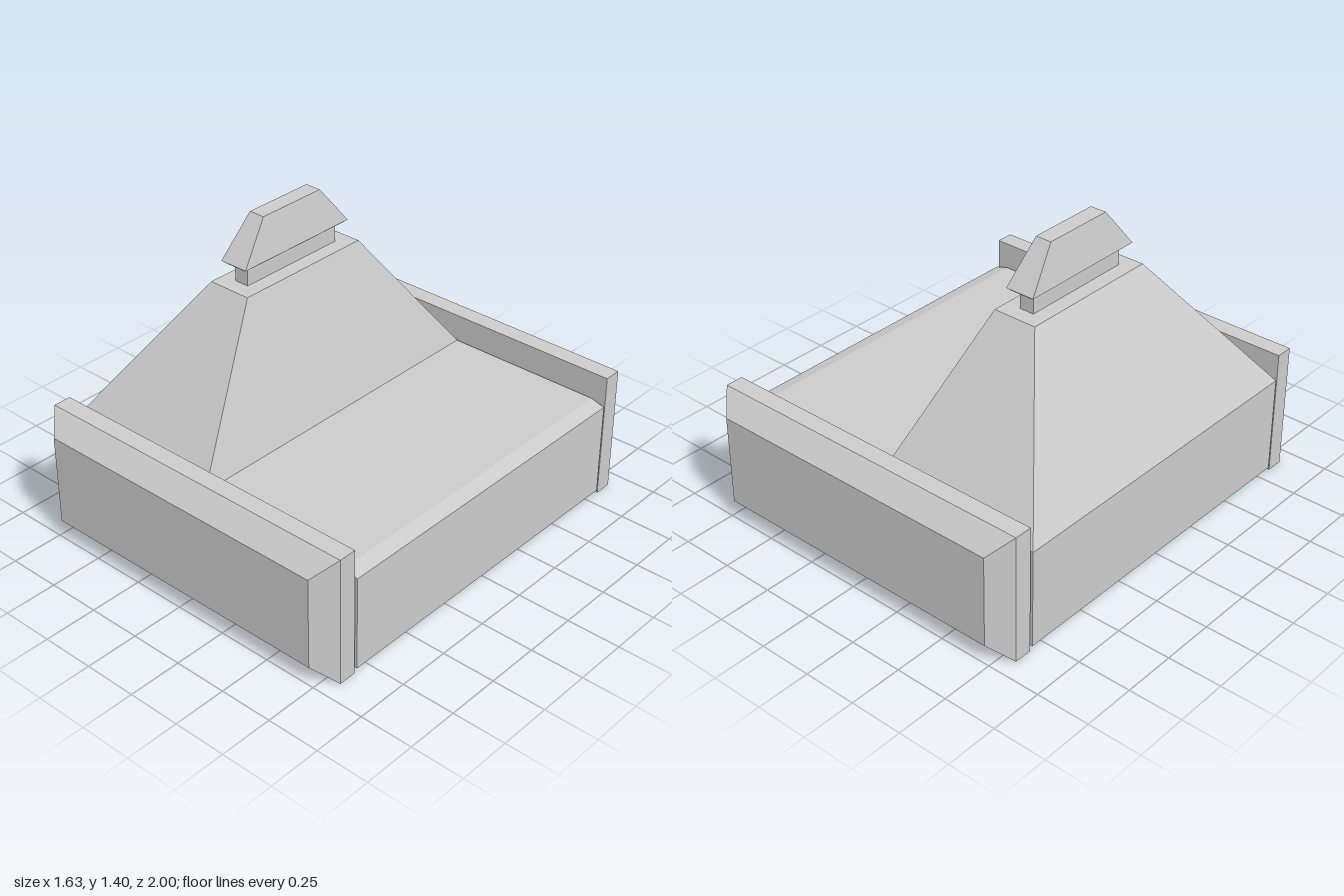
import * as THREE from 'three';

const material = new THREE.MeshStandardMaterial({ color: 0xcccccc, flatShading: true });

// Closed solid through rectangular sections [y, x0, x1, z0, z1], listed bottom to top
function loft(name, sections) {
  const rings = sections.map(([y, x0, x1, z0, z1]) =>
    [[x0, y, z1], [x1, y, z1], [x1, y, z0], [x0, y, z0]]);
  const pos = [];
  const quad = (a, b, c, d) => pos.push(...a, ...b, ...c, ...a, ...c, ...d);
  for (let r = 0; r < rings.length - 1; r++) {
    for (let i = 0; i < 4; i++) {
      const j = (i + 1) % 4;
      quad(rings[r][i], rings[r][j], rings[r + 1][j], rings[r + 1][i]);
    }
  }
  quad(...rings[rings.length - 1]);
  quad(...[...rings[0]].reverse());
  const geometry = new THREE.BufferGeometry();
  geometry.setAttribute('position', new THREE.Float32BufferAttribute(pos, 3));
  geometry.computeVertexNormals();
  const mesh = new THREE.Mesh(geometry, material);
  mesh.name = name;
  return mesh;
}

export function createModel() {
  const model = new THREE.Group();
  model.name = 'model';

  // Base block, its top sloping down slightly along the left edge
  const profile = new THREE.Shape([
    [-0.817, 0.02], [0.817, 0.02], [0.817, 0.463], [0.75, 0.482], [-0.817, 0.482],
  ].map(([x, y]) => new THREE.Vector2(x, y)));
  const baseGeometry = new THREE.ExtrudeGeometry(profile, { depth: 1.634, bevelEnabled: false });
  baseGeometry.translate(0, 0, -0.817);
  const base = new THREE.Mesh(baseGeometry, material);
  base.name = 'base';
  model.add(base);

  // Bevelled end panels, front and back
  for (const side of [1, -1]) {
    const panel = loft(side > 0 ? 'frontPanel' : 'backPanel', [
      [0.828, -0.814, 0.814, -0.302, 0.302],
      [0.912, -0.814, 0.814, -0.302, 0.302],
      [1.0, -0.728, 0.728, -0.214, 0.214],
    ]);
    panel.rotation.x = side * Math.PI / 2;
    panel.position.y = 0.302;
    model.add(panel);
  }

  // Tapered tower, offset to the right
  model.add(loft('tower', [
    [0.482, -0.817, -0.007, -0.817, 0.817],
    [1.115, -0.416, -0.205, -0.345, 0.345],
  ]));

  // Neck and overhanging cap
  model.add(loft('neck', [
    [1.115, -0.346, -0.275, -0.272, 0.272],
    [1.2, -0.346, -0.275, -0.272, 0.272],
  ]));
  model.add(loft('cap', [
    [1.2, -0.362, -0.258, -0.3, 0.3],
    [1.214, -0.381, -0.241, -0.316, 0.316],
    [1.4, -0.349, -0.272, -0.172, 0.172],
  ]));

  return model;
}
